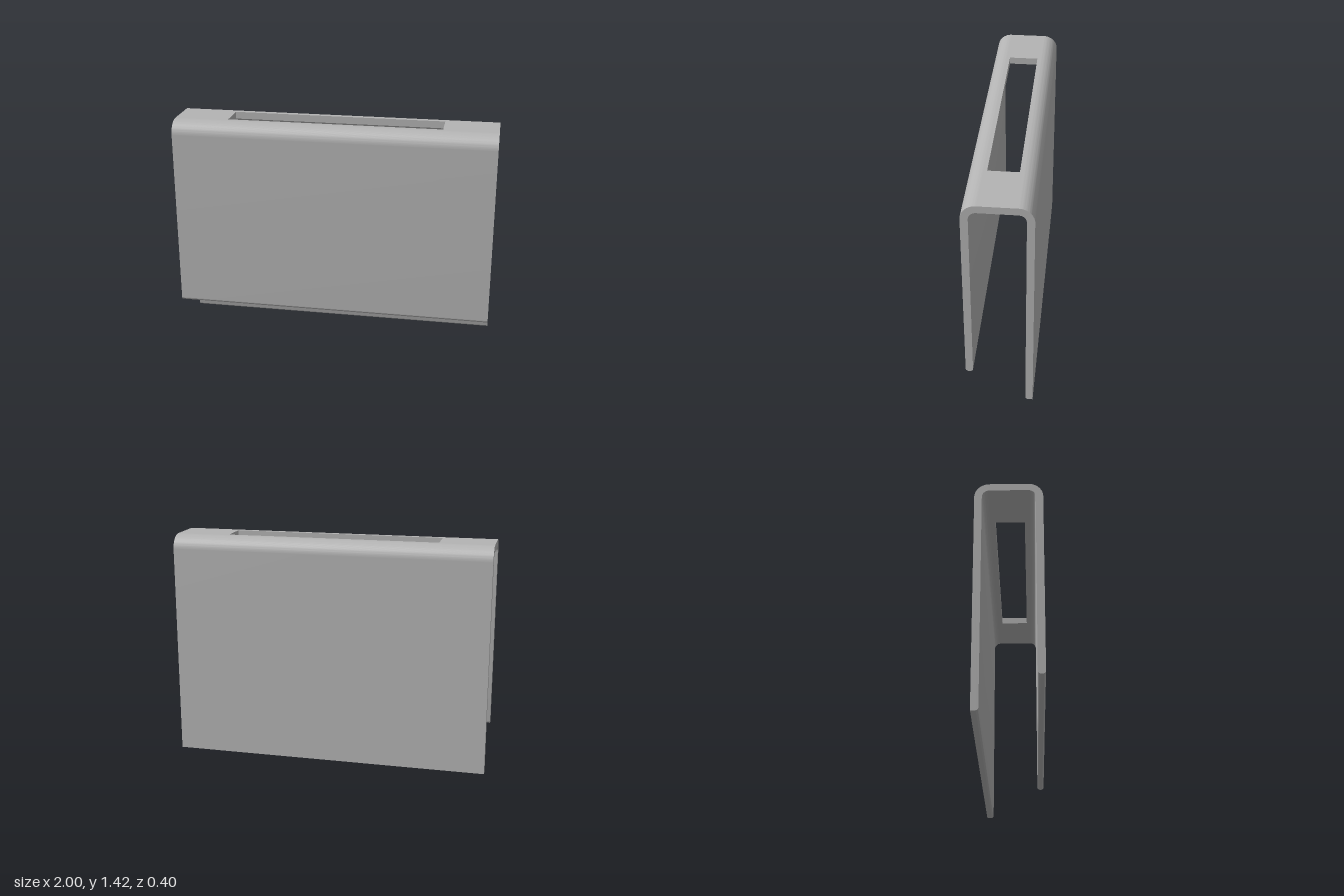
import * as THREE from 'three';
import { toCreasedNormals } from 'three/addons/utils/BufferGeometryUtils.js';

const LENGTH = 2, TOP = 1.423, HALF_DEPTH = 0.2;
const THICK = 0.044, BEND = 0.088, EDGE = 0.018;
const FLAT = HALF_DEPTH - BEND; // half depth of the flat top

// Bent side panel: drawn in (z, y), side = 1 for front, -1 for back
function panelGeometry(side, bottom, outerEdge) {
  const shape = new THREE.Shape();
  const arc = (z, y, r, from, to, clockwise) => {
    const a = (t) => (side > 0 ? t : Math.PI - t);
    shape.absarc(side * z, y, r, a(from), a(to), side > 0 ? clockwise : !clockwise);
  };
  const inner = HALF_DEPTH - THICK, q = Math.PI / 2;
  shape.moveTo(side * FLAT, TOP);
  arc(FLAT, TOP - BEND, BEND, q, 0, true);
  if (outerEdge) arc(HALF_DEPTH - EDGE, bottom + EDGE, EDGE, 0, -q, true);
  else shape.lineTo(side * HALF_DEPTH, bottom);
  arc(inner + EDGE, bottom + EDGE, EDGE, -q, -2 * q, true);
  arc(FLAT, TOP - BEND, BEND - THICK, 0, q, false);
  shape.closePath();

  const geometry = new THREE.ExtrudeGeometry(shape, { depth: LENGTH, bevelEnabled: false, curveSegments: 16 });
  geometry.rotateY(-Math.PI / 2);
  geometry.translate(LENGTH / 2, 0, 0);
  return toCreasedNormals(geometry, 0.5);
}

// Flat top with a rectangular slot through it
function topGeometry() {
  const rectangle = (path, x, z) =>
    path.moveTo(-x, -z).lineTo(x, -z).lineTo(x, z).lineTo(-x, z).closePath();
  const shape = rectangle(new THREE.Shape(), LENGTH / 2, FLAT);
  shape.holes.push(rectangle(new THREE.Path(), 0.665, 0.09));
  const geometry = new THREE.ExtrudeGeometry(shape, { depth: THICK, bevelEnabled: false });
  geometry.rotateX(-Math.PI / 2);
  geometry.translate(0, TOP - THICK, 0);
  return geometry;
}

export function createModel() {
  const grey = new THREE.MeshStandardMaterial({ color: 0xb4b4b4 });
  grey.name = 'grey';

  const group = new THREE.Group();
  group.name = 'slottedCover';
  const add = (name, geometry) => {
    const mesh = new THREE.Mesh(geometry, grey);
    mesh.name = name;
    group.add(mesh);
  };

  add('slottedTop', topGeometry());
  add('frontPanel', panelGeometry(1, 0.207, true)); // shorter, fully rounded lower edge
  add('backPanel', panelGeometry(-1, 0, false)); // longer, rounded only on the inside
  return group;
}
